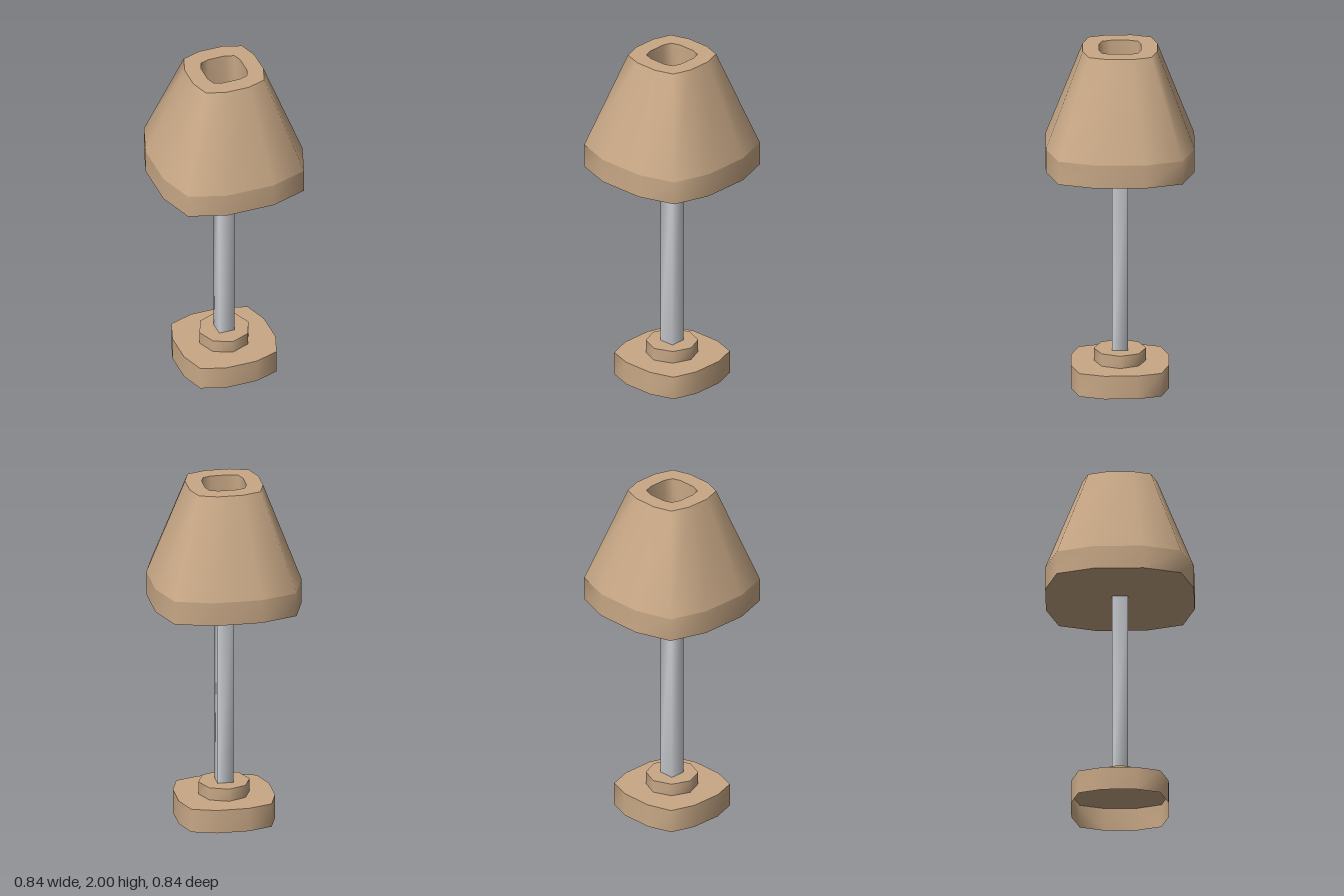
import * as THREE from 'three';

// Twelve-sided squarish outline: half width h, flat side half length m, corner at c
function squarish(h, m = h * 0.335, c = h * 0.835) {
  const pts = [];
  for (let k = 0; k < 4; k++) {
    for (const [a, b] of [[h, -m], [h, m], [c, c]]) {
      const s = [0, 1, 0, -1][k], t = [1, 0, -1, 0][k];
      pts.push([a * t - b * s, a * s + b * t]);
    }
  }
  return pts;
}

// Regular outline with n corners
function regular(n, r, start = 0) {
  return Array.from({ length: n }, (_, i) => {
    const a = start + (i / n) * Math.PI * 2;
    return [r * Math.cos(a), r * Math.sin(a)];
  });
}

// Smooth band between two matching outlines; inward turns it towards the axis
function wall(lower, y0, upper, y1, inward = false) {
  const n = lower.length, pos = [], idx = [];
  lower.forEach(([x, z]) => pos.push(x, y0, z));
  upper.forEach(([x, z]) => pos.push(x, y1, z));
  for (let i = 0; i < n; i++) {
    const j = (i + 1) % n;
    if (inward) idx.push(i, j, n + i, j, n + j, n + i);
    else idx.push(i, n + i, j, j, n + i, n + j);
  }
  const g = new THREE.BufferGeometry();
  g.setAttribute('position', new THREE.Float32BufferAttribute(pos, 3));
  g.setIndex(idx);
  g.computeVertexNormals();
  return g;
}

// Flat horizontal face at height y, optionally with a hole
function cap(outline, y, up = true, hole = null) {
  const toPoints = (o) => o.map(([x, z]) => new THREE.Vector2(x, z));
  const shape = new THREE.Shape(toPoints(outline));
  if (hole) shape.holes.push(new THREE.Path(toPoints(hole)));
  return new THREE.ShapeGeometry(shape).rotateX(up ? -Math.PI / 2 : Math.PI / 2).translate(0, y, 0);
}

export function createModel() {
  const wood = new THREE.MeshStandardMaterial({ color: 0xc8a886, side: THREE.DoubleSide });
  wood.name = 'tan wood';
  const metal = new THREE.MeshStandardMaterial({ color: 0xcdd0d5 });
  metal.name = 'grey metal';

  const model = new THREE.Group();
  model.name = 'tableLamp';
  const part = (name, material, geometries) => {
    const group = new THREE.Group();
    group.name = name;
    geometries.forEach((g) => group.add(new THREE.Mesh(g, material)));
    model.add(group);
  };

  // Foot, hollow underneath
  const foot = squarish(0.275);
  part('foot', wood, [wall(foot, 0, foot, 0.137), cap(foot, 0.137)]);

  // Collar around the pole
  const collar = regular(8, 0.147);
  part('collar', wood, [wall(collar, 0.137, collar, 0.21), cap(collar, 0.21)]);

  // Square pole with softened shading
  const pole = regular(4, 0.0636, Math.PI / 4);
  part('pole', metal, [wall(pole, 0.21, pole, 1.305)]);

  // Shade: straight rim, tapering body, recessed top and closed underside
  const rim = squarish(0.418), crown = squarish(0.21), recess = squarish(0.118, 0.052, 0.101);
  part('shade', wood, [
    cap(rim, 1.305, false),
    wall(rim, 1.305, rim, 1.442),
    wall(rim, 1.442, crown, 2),
    cap(crown, 2, true, recess),
    wall(recess, 1.8, recess, 2, true),
    cap(recess, 1.8),
  ]);
  return model;
}
